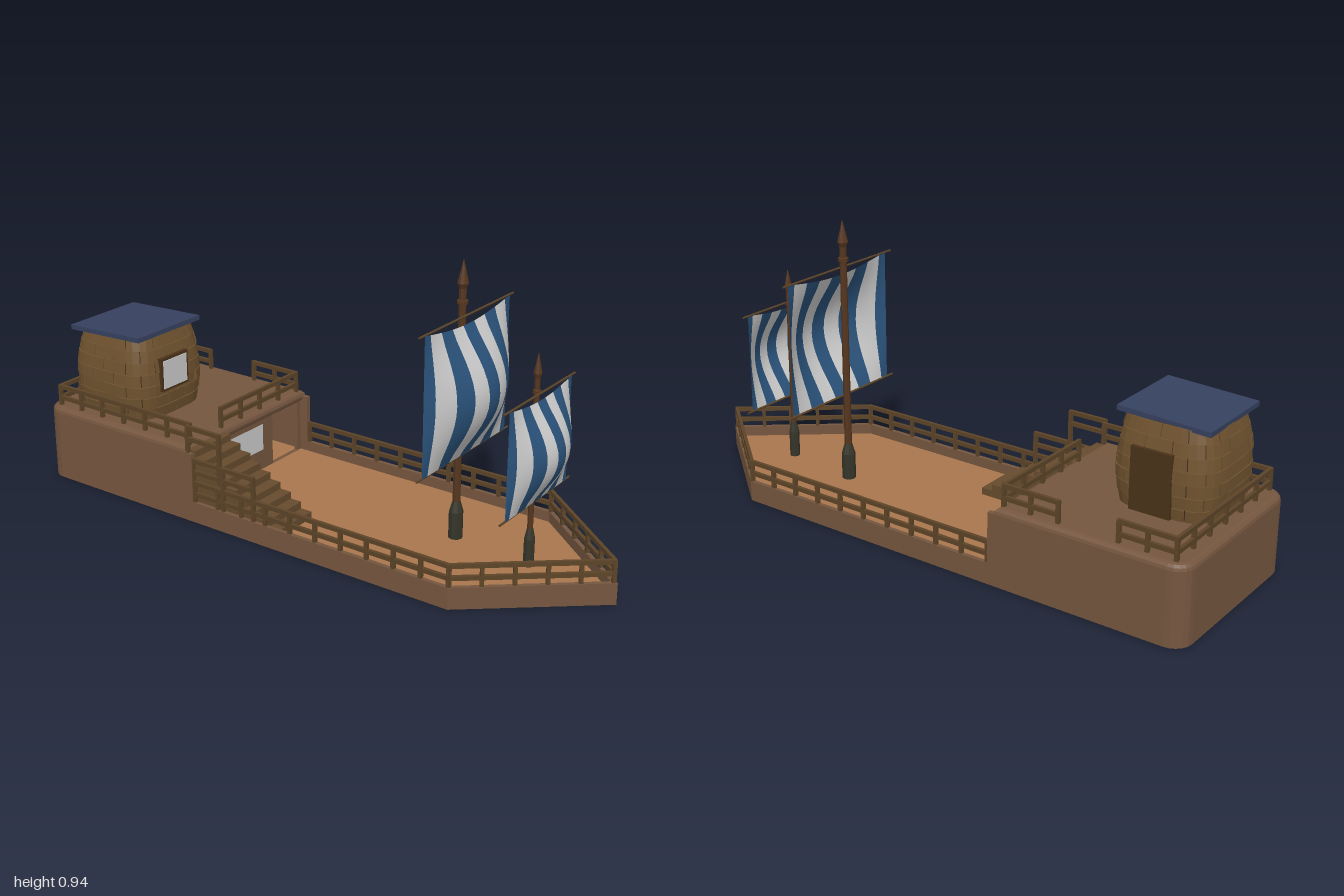
import * as THREE from 'three';

const mat = (color, flat = true) => new THREE.MeshStandardMaterial({ color, flatShading: flat, side: THREE.DoubleSide });
const M = {
  hull: mat(0x75563f), deck: mat(0xa8764c), rail: mat(0x5c4428), stair: mat(0x664b2e), block: mat(0x70532f), core: mat(0x3f2d19),
  door: mat(0x4a3218), roof: mat(0x36415f), mast: mat(0x55361f), base: mat(0x36352a), blue: mat(0x2a527a, false),
  grey: mat(0xcccccc, false),
};

function add(parent, name, geo, material, x = 0, y = 0, z = 0) {
  const m = new THREE.Mesh(geo, material);
  m.name = name;
  m.position.set(x, y, z);
  parent.add(m);
  return m;
}
const box = (p, name, m, x, y, z, w, h, d) => add(p, name, new THREE.BoxGeometry(w, h, d), m, x, y, z);
function group(parent, name) {
  const g = new THREE.Group();
  g.name = name;
  parent.add(g);
  return g;
}

// Stern corners, rounded, from -x to +x; returns [x, z] points
function sternCurve(d) {
  const pts = [], r = 0.06 - d, c = 0.253;
  for (const [s, a0] of [[-1, Math.PI], [1, Math.PI * 1.5]])
    for (let i = 0; i <= 5; i++) {
      const a = a0 + (i / 5) * Math.PI / 2;
      pts.push([s * c + r * Math.cos(a), -0.94 + r * Math.sin(a)]);
    }
  return pts;
}
// Deck plan inset by d, with a pointed bow
const hullPlan = d => [...sternCurve(d), [0.313 - d, 0.62 - 0.357 * d], [0, 1 - 1.57 * d], [d - 0.313, 0.62 - 0.357 * d]];
const toV2 = pts => pts.map(([x, z]) => new THREE.Vector2(x, -z));

// Extrudes a plan drawn in x and z upwards from y0
function slab(plan, y0, h, hole, bevel = 0) {
  const s = new THREE.Shape(toV2(plan));
  if (hole) s.holes.push(new THREE.Path(toV2(hole)));
  const g = new THREE.ExtrudeGeometry(s, {
    depth: h, bevelEnabled: bevel > 0, bevelSize: bevel, bevelThickness: bevel, bevelOffset: -bevel, bevelSegments: 3,
  });
  return g.rotateX(-Math.PI / 2).translate(0, y0, 0);
}

// Two-bar railing with posts along [x, z] points
function railing(parent, name, pts, y, foot = 0) {
  const g = group(parent, name);
  for (let i = 0; i + 1 < pts.length; i++) {
    const [x0, z0] = pts[i], [x1, z1] = pts[i + 1];
    const len = Math.hypot(x1 - x0, z1 - z0), ang = Math.atan2(x1 - x0, z1 - z0);
    for (const h of [0.028, 0.067])
      box(g, 'railBar', M.rail, (x0 + x1) / 2, y + h, (z0 + z1) / 2, 0.011, 0.014, len + 0.01).rotation.y = ang;
    const n = Math.max(1, Math.round(len / 0.1));
    for (let k = 0; k <= n; k++)
      box(g, 'railPost', M.rail, x0 + (x1 - x0) * k / n, y + (0.07 - foot) / 2, z0 + (z1 - z0) * k / n,
        0.012, 0.07 + foot, 0.012).rotation.y = ang;
  }
}

// Mast with a thick foot, a collar and a pointed finial
function mast(parent, name, x, z, top, r, cone) {
  const g = group(parent, name);
  g.position.set(x, 0, z);
  const prof = [[r * 1.1, 0.035], [r, top - cone - 0.065], [r * 1.5, top - cone - 0.063], [r * 1.5, top - cone - 0.052],
    [r, top - cone - 0.05], [r, top - cone - 0.015], [r * 1.55, top - cone], [0, top]];
  add(g, 'pole', new THREE.LatheGeometry(prof.map(p => new THREE.Vector2(...p)), 8), M.mast);
  const foot = [[r * 2, 0.035], [r * 2, 0.125], [r * 1.1, 0.16]];
  add(g, 'mastFoot', new THREE.LatheGeometry(foot.map(p => new THREE.Vector2(...p)), 8), M.base);
}

// Billowing striped sail hung between two yards
function sail(parent, name, x0, x1, y0, y1, z, bulge, sag) {
  const g = group(parent, name), n = 8, w = x1 - x0;
  const edges = [0, ...Array.from({ length: n }, (_, i) => (i + 0.5) / n), 1];
  for (let i = 0; i + 1 < edges.length; i++) {
    const geo = new THREE.PlaneGeometry(1, 1, 3, 14), p = geo.attributes.position;
    for (let k = 0; k < p.count; k++) {
      const u = edges[i] + (p.getX(k) + 0.5) * (edges[i + 1] - edges[i]), v = p.getY(k) + 0.5;
      const su = Math.sin(Math.PI * u), sv = Math.max(0, Math.sin(Math.PI * v));
      p.setXYZ(k, x0 + w * u, y0 + (y1 - y0 - sag * su) * v, z + bulge * Math.pow(Math.max(0, su), 0.9) * Math.pow(sv, 1.2));
    }
    geo.computeVertexNormals();
    add(g, 'sailStripe', geo, i % 2 ? M.grey : M.blue);
  }
  for (const y of [y0, y1])
    add(g, 'yard', new THREE.CylinderGeometry(0.0035, 0.0035, w + 0.05, 6).rotateZ(Math.PI / 2), M.rail, (x0 + x1) / 2, y, z - 0.003);
}

// Barrel-shaped cabin of staggered blocks
function cabin(parent) {
  const g = group(parent, 'cabin'), H = 0.28, rows = 7;
  g.position.set(-0.0925, 0.255, -0.765);
  const bulge = y => 0.173 - 0.026 * Math.pow(Math.abs(y / H - 0.4) / 0.6, 2);
  const rad = a => Math.pow(Math.cos(a) ** 4 + Math.sin(a) ** 4, -0.25);
  const at = (a, k) => [k * rad(a) * Math.cos(a), k * rad(a) * Math.sin(a)];
  const arc = (a0, a1, k, n) => Array.from({ length: n + 1 }, (_, i) => at(a0 + (a1 - a0) * i / n, k));
  const curve = geo => {
    const p = geo.attributes.position;
    for (let i = 0; i < p.count; i++) {
      const b = bulge(p.getY(i));
      p.setXYZ(i, p.getX(i) * b, p.getY(i), p.getZ(i) * b);
    }
    geo.computeVertexNormals();
    return geo;
  };
  const h = H / rows;
  for (let r = 0; r < rows; r++) {
    add(g, 'cabinCore', curve(slab(arc(0, Math.PI * 2 * 31 / 32, 0.955, 31), r * h, h)), M.core);
    for (let k = 0; k < 12; k++) {
      const a = (k + (r % 2) / 2) * Math.PI / 6, out = 0.985 + 0.02 * ((k * 5 + r * 3) % 4) / 3;
      const plan = [...arc(a + 0.008, a + Math.PI / 6 - 0.008, out, 4), ...arc(a + Math.PI / 6 - 0.008, a + 0.008, 0.9, 4)];
      add(g, 'cabinBlock', curve(slab(plan, r * h + 0.001, h - 0.002)), M.block);
    }
  }
  box(g, 'cabinDoor', M.door, 0.16, 0.103, 0.015, 0.034, 0.2, 0.135);
  box(g, 'cabinWindowFrame', M.door, -0.015, 0.15, 0.16, 0.13, 0.115, 0.034);
  box(g, 'cabinWindow', M.grey, -0.015, 0.15, 0.163, 0.112, 0.097, 0.034);
  box(g, 'cabinRoof', M.roof, -0.01, 0.285, 0.003, 0.3, 0.016, 0.305).rotation.x = -0.04;
}

export function createModel() {
  const ship = new THREE.Group();
  ship.name = 'sailingShip';

  // Hull, bulwark and main deck
  add(ship, 'hullFloor', slab(hullPlan(0), 0, 0.03), M.hull);
  add(ship, 'bulwark', slab(hullPlan(0), 0.03, 0.04, hullPlan(0.014)), M.hull);
  add(ship, 'mainDeck', slab(hullPlan(0.013), 0.029, 0.006), M.deck);

  // Stern house: side and back walls, front wall with openings, upper deck
  const outer = [[-0.313, -0.345], ...sternCurve(0), [0.313, -0.345]];
  const inner = [[0.297, -0.345], ...sternCurve(0.016).reverse(), [-0.297, -0.345]];
  add(ship, 'sternWall', slab([...outer, ...inner], 0.07, 0.167), M.hull);
  add(ship, 'upperDeck', slab([[-0.313, -0.365], ...sternCurve(0), [0.313, -0.365]], 0.235, 0.001, null, 0.02), M.hull);
  const rect = (S, x0, y0, x1, y1) => new S([[x0, y0], [x1, y0], [x1, y1], [x0, y1]].map(p => new THREE.Vector2(...p)));
  const front = rect(THREE.Shape, -0.3, 0.033, 0.3, 0.24);
  front.holes.push(rect(THREE.Path, 0.14, 0.036, 0.28, 0.222), rect(THREE.Path, -0.115, 0.105, 0.09, 0.2));
  add(ship, 'sternFrontWall', new THREE.ExtrudeGeometry(front, { depth: 0.014, bevelEnabled: false }), M.hull, 0, 0, -0.39);
  box(ship, 'sternWindow', M.grey, -0.0125, 0.1525, -0.381, 0.207, 0.097, 0.008);

  // Stairs to the upper deck
  const stairs = group(ship, 'stairs'), n = 9, run = 0.37 / n;
  for (let i = 0; i < n; i++) {
    const y = 0.035 + 0.21 * (i + 1) / n;
    box(stairs, 'step', M.stair, -0.212, (y + 0.035) / 2, -0.01 - run * (i + 0.5), 0.175, y - 0.035, run);
  }

  // Railings
  for (const s of [-1, 1])
    railing(ship, 'mainRail', [[s * 0.305, -0.34], [s * 0.305, 0.617], [0, 0.987]], 0.07);
  railing(ship, 'lowerStairRail', [[-0.305, -0.1], [-0.305, -0.345]], 0.147, 0.08);
  railing(ship, 'upperStairRail', [[-0.305, -0.235], [-0.305, -0.365]], 0.257, 0.1);
  railing(ship, 'sternRail', [[-0.283, -0.375], [-0.283, -0.953], [0.283, -0.953], [0.283, -0.77]], 0.255);
  railing(ship, 'frontSternRail', [[0.283, -0.57], [0.283, -0.383], [-0.12, -0.383]], 0.255);

  cabin(ship);

  // Masts and sails
  mast(ship, 'mainMast', 0.035, 0.43, 0.935, 0.0115, 0.075);
  mast(ship, 'foreMast', 0.005, 0.705, 0.715, 0.0085, 0.065);
  sail(ship, 'mainSail', -0.205, 0.27, 0.325, 0.768, 0.455, 0.1, 0.026);
  sail(ship, 'foreSail', -0.18, 0.185, 0.254, 0.592, 0.722, 0.078, 0.02);
  return ship;
}
